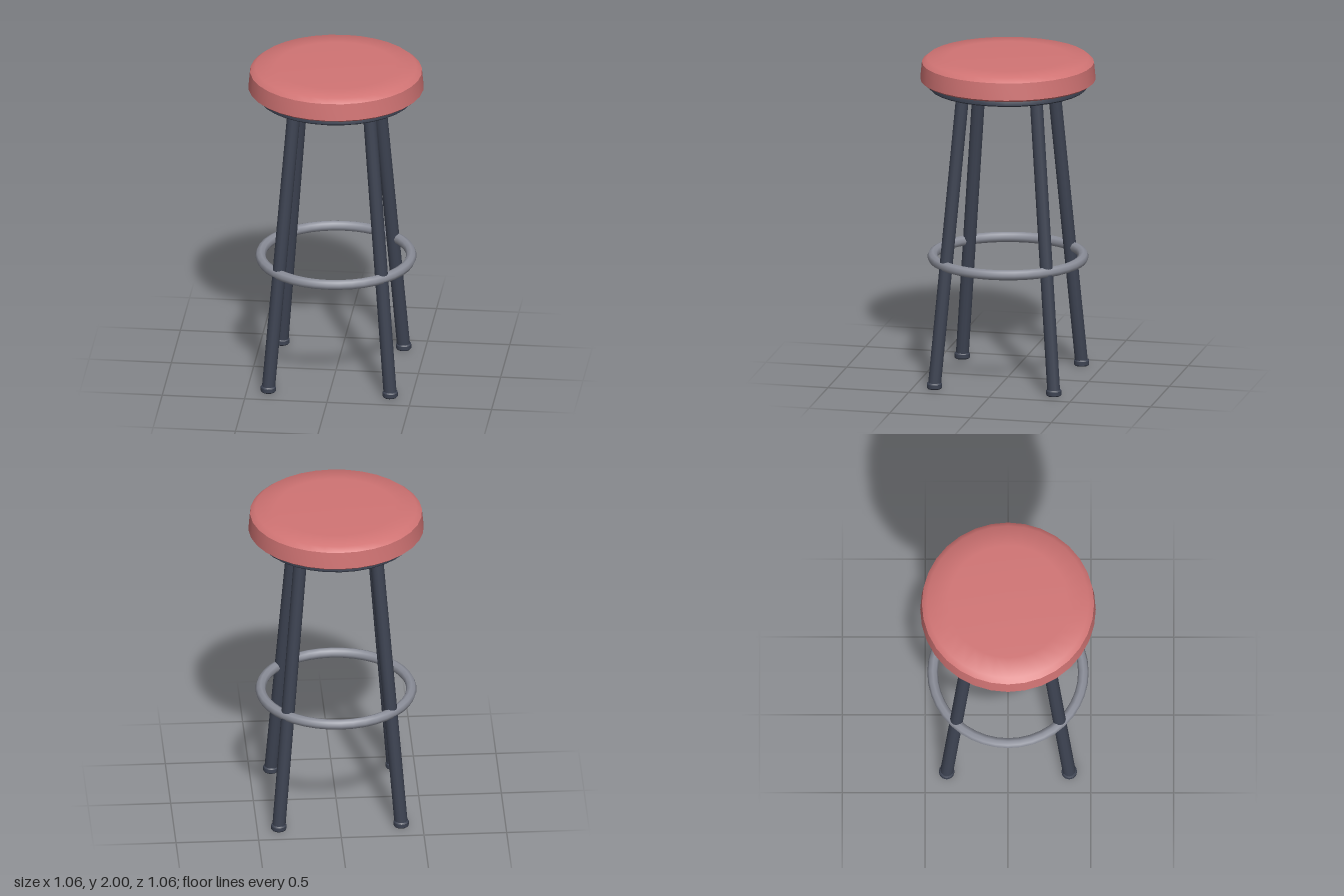
import * as THREE from 'three';
import { toCreasedNormals } from 'three/addons/utils/BufferGeometryUtils.js';

const mat = (name, color) => {
  const m = new THREE.MeshStandardMaterial({ color });
  m.name = name;
  return m;
};

// Turned part from a bottom-to-top profile of [radius, height]
function turned(name, profile, sides, material, crease = 0.6) {
  const points = profile.map(([r, y]) => new THREE.Vector2(r, y));
  const geometry = toCreasedNormals(new THREE.LatheGeometry(points, sides), crease);
  const mesh = new THREE.Mesh(geometry, material);
  mesh.name = name;
  return mesh;
}

export function createModel() {
  const red = mat('red upholstery', 0xd17474);
  const dark = mat('dark painted steel', 0x3d4352);
  const steel = mat('grey steel', 0x8b8e99);
  const model = new THREE.Group();
  model.name = 'barStool';

  // Padded seat with a softly domed top
  model.add(turned('seatCushion', [
    [0, 1.85], [0.515, 1.85], [0.53, 1.862], [0.52, 1.967],
    [0.488, 1.993], [0.36, 2], [0, 2],
  ], 32, red, 0.75));

  // Plate and hub under the seat
  model.add(turned('seatPlate', [
    [0, 1.808], [0.472, 1.808], [0.48, 1.816], [0.48, 1.842], [0.474, 1.852], [0, 1.852],
  ], 32, dark));
  model.add(turned('hub', [
    [0, 1.742], [0.18, 1.742], [0.188, 1.75], [0.188, 1.812], [0, 1.812],
  ], 24, dark));

  // Four splayed legs with feet
  const up = new THREE.Vector3(0, 1, 0);
  for (const [x, z, side] of [
    [1, 1, 'frontLeft'], [-1, 1, 'frontRight'], [1, -1, 'backLeft'], [-1, -1, 'backRight'],
  ]) {
    const bottom = new THREE.Vector3(0.37 * x, 0.015, 0.37 * z);
    const top = new THREE.Vector3(0.226 * x, 1.825, 0.226 * z);
    const axis = top.clone().sub(bottom);
    const leg = new THREE.Mesh(new THREE.CylinderGeometry(0.04, 0.04, axis.length(), 12), dark);
    leg.name = side + 'Leg';
    leg.position.copy(bottom).add(top).multiplyScalar(0.5);
    leg.quaternion.setFromUnitVectors(up, axis.normalize());
    model.add(leg);

    const foot = turned(side + 'Foot', [
      [0, 0], [0.041, 0], [0.047, 0.007], [0.047, 0.03], [0.041, 0.038], [0, 0.038],
    ], 12, dark);
    foot.position.set(0.37 * x, 0, 0.37 * z);
    model.add(foot);
  }

  // Footrest ring
  const ring = new THREE.Mesh(new THREE.TorusGeometry(0.455, 0.032, 8, 40), steel);
  ring.name = 'footrestRing';
  ring.rotation.x = Math.PI / 2;
  ring.position.y = 0.753;
  model.add(ring);

  return model;
}
